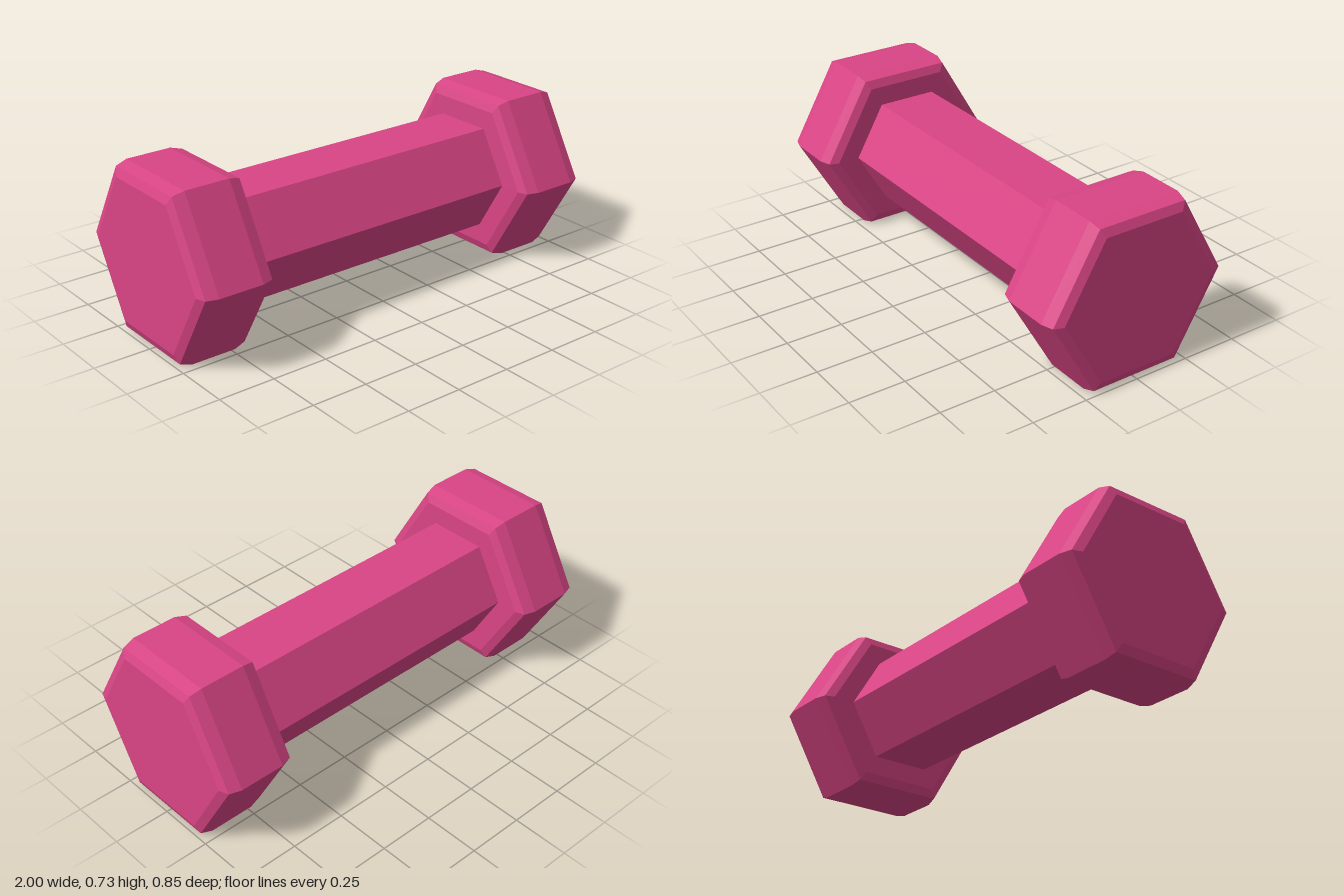
import * as THREE from 'three';

const CENTER_Y = 0.366;

// Six-sided solid of revolution about the x axis, corners facing +z and -z
function hexSolid(profile) {
  const points = profile.map(([radius, along]) => new THREE.Vector2(radius, along));
  const lathe = new THREE.LatheGeometry(points, 6);
  lathe.rotateZ(-Math.PI / 2);
  const faceted = lathe.toNonIndexed();
  faceted.computeVertexNormals();
  return faceted;
}

export function createModel() {
  const model = new THREE.Group();
  model.name = 'dumbbell';
  const pink = new THREE.MeshStandardMaterial({ color: 0xd94585 });
  pink.name = 'pink';

  // Heads: hexagonal blocks with a two-step bevel on both ends
  const headGeometry = hexSolid([
    [0, -0.167], [0.364, -0.167], [0.406, -0.152], [0.4225, -0.1],
    [0.4225, 0.1], [0.406, 0.152], [0.364, 0.167], [0, 0.167],
  ]);
  for (const [name, side] of [['leftHead', 1], ['rightHead', -1]]) {
    const head = new THREE.Mesh(headGeometry, pink);
    head.name = name;
    head.position.set(side * 0.833, CENTER_Y, 0);
    model.add(head);
  }

  // Handle: plain hexagonal bar running slightly into the heads
  const handle = new THREE.Mesh(
    hexSolid([[0, -0.68], [0.265, -0.68], [0.265, 0.68], [0, 0.68]]), pink);
  handle.name = 'handle';
  handle.position.y = CENTER_Y;
  model.add(handle);

  return model;
}
